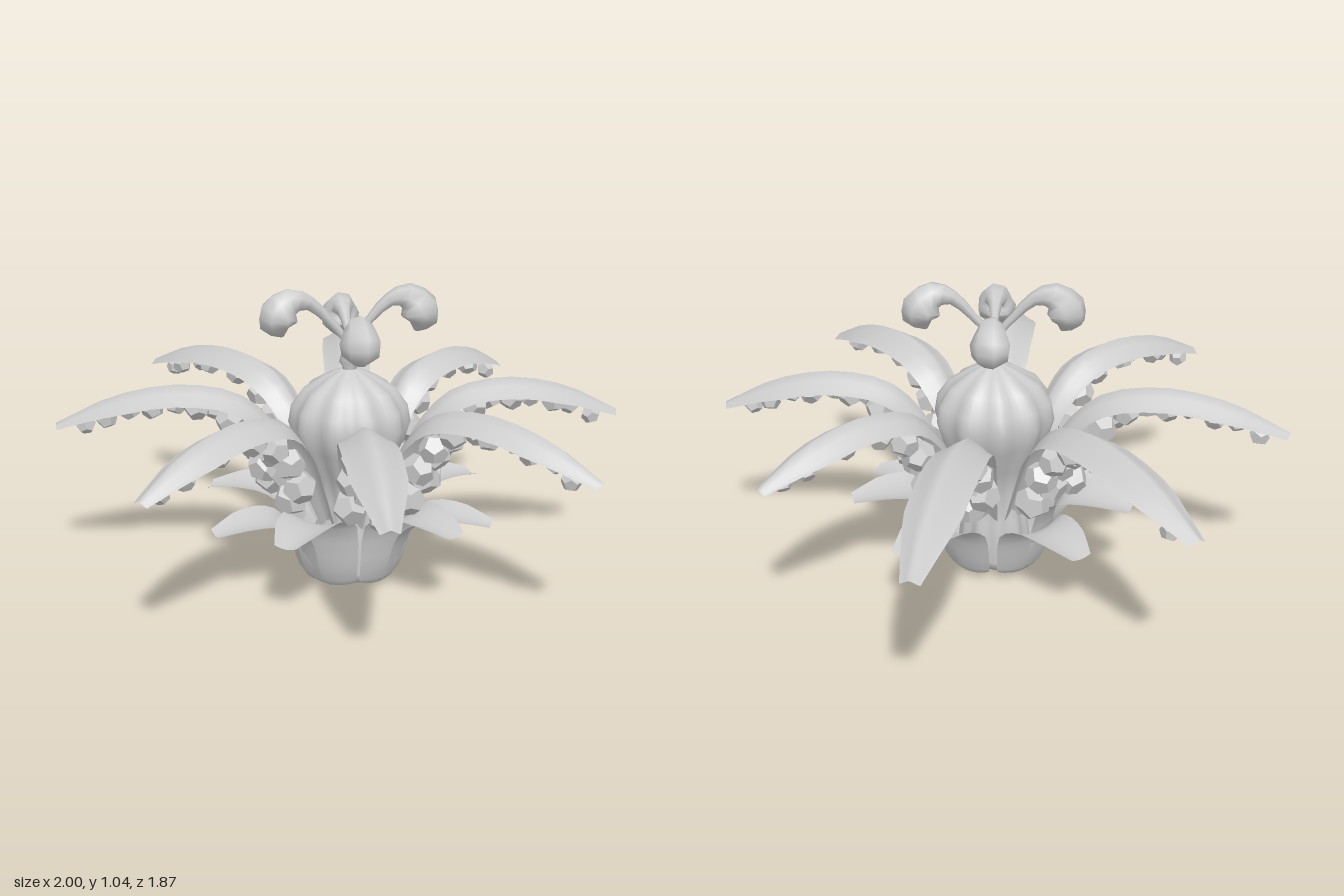
import * as THREE from 'three';
import { mergeVertices } from 'three/addons/utils/BufferGeometryUtils.js';

const smooth = new THREE.MeshStandardMaterial({ color: 0xcccccc, side: THREE.DoubleSide });
const faceted = new THREE.MeshStandardMaterial({ color: 0xcccccc, flatShading: true });

// Small seeded generator for natural variation
let seed = 7;
const rand = () => (seed = (seed * 16807) % 2147483647) / 2147483647;

// Skin a list of equally long rows of points
function skin(rows) {
  const n = rows[0].length, index = [];
  for (let i = 0; i < rows.length - 1; i++)
    for (let j = 0; j < n - 1; j++) {
      const a = i * n + j, b = a + n;
      index.push(a, a + 1, b, a + 1, b + 1, b);
    }
  let g = new THREE.BufferGeometry().setFromPoints(rows.flat());
  g.setIndex(index);
  g = mergeVertices(g, 1e-5);
  g.computeVertexNormals();
  return g;
}

// Stations along a path in the x-y plane: position, upper normal and interpolated size
function stations(points, sizes, count) {
  const curve = new THREE.CatmullRomCurve3(points.map(([x, y]) => new THREE.Vector3(x, y, 0)));
  return Array.from({ length: count + 1 }, (_, i) => {
    const t = i / count, k = t * (sizes.length - 1);
    const lo = Math.min(Math.floor(k), sizes.length - 2);
    const tan = curve.getTangent(t);
    return {
      p: curve.getPoint(t),
      n: new THREE.Vector3(-tan.y, tan.x, 0),
      size: THREE.MathUtils.lerp(sizes[lo], sizes[lo + 1], k - lo),
    };
  });
}

// Thin blade whose cross-section is given by fold(s), s from -1 to 1
function blade(st, fold) {
  return skin(st.map(({ p, n, size }) =>
    [-1, -0.75, -0.4, 0, 0.4, 0.75, 1].map((s) => {
      const v = p.clone().addScaledVector(n, fold(s) * size);
      v.z += s * size;
      return v;
    })));
}

// Round stem of changing thickness
function stem(st, sides) {
  return skin(st.map(({ p, n, size }) =>
    Array.from({ length: sides + 1 }, (_, j) => {
      const a = ((j % sides) / sides) * Math.PI * 2;
      const v = p.clone().addScaledVector(n, -Math.sin(a) * size);
      v.z += Math.cos(a) * size;
      return v;
    })));
}

function add(parent, name, geometry, material = smooth) {
  const mesh = new THREE.Mesh(geometry, material);
  mesh.name = name;
  parent.add(mesh);
  return mesh;
}

export function createModel() {
  const model = new THREE.Group();
  model.name = 'plant';
  const plant = new THREE.Group();
  plant.name = 'flowerBody';
  plant.position.set(0.04, 0, -0.03);
  model.add(plant);

  // Ribbed bulb with its stalk and the knob on top
  const profile = [[0, 0.002], [0.1, 0.005], [0.13, 0.05], [0.11, 0.2], [0.1, 0.3], [0.13, 0.4],
    [0.18, 0.5], [0.2, 0.57], [0.19, 0.63], [0.15, 0.69], [0.08, 0.735], [0.025, 0.76]];
  const bulb = new THREE.LatheGeometry(profile.map((p) => new THREE.Vector2(...p)), 60);
  bulb.deleteAttribute('uv');
  bulb.deleteAttribute('normal');
  const pos = bulb.attributes.position;
  for (let i = 0; i < pos.count; i++) {
    const x = pos.getX(i), z = pos.getZ(i);
    const k = 1 + 0.05 * Math.cos(10 * Math.atan2(z, x));
    pos.setX(i, x * k);
    pos.setZ(i, z * k);
  }
  const bulbGeo = mergeVertices(bulb, 1e-5);
  bulbGeo.computeVertexNormals();
  add(plant, 'bulb', bulbGeo);
  const knob = [[0.03, 0.74], [0.02, 0.76], [0.036, 0.785], [0.03, 0.81], [0.018, 0.83], [0.022, 0.87], [0, 0.88]];
  add(plant, 'knob', new THREE.LatheGeometry(knob.map((p) => new THREE.Vector2(...p)), 8));

  // Four drooping buds on thin arms, two of them lower and closer in
  for (let i = 0; i < 4; i++) {
    const drop = i % 2 ? 0.06 : 0, k = i % 2 ? 0.83 : 1.03;
    const path = [[0, 0.82], [0.02, 0.87], [0.07, 0.93 - drop / 2], [0.13, 0.99 - drop], [0.19, 1.0 - drop],
      [0.23, 0.96 - drop], [0.235, 0.92 - drop], [0.22, 0.88 - drop]].map(([r, y]) => [r * k, y]);
    const st = stations(path, [0.012, 0.013, 0.015, 0.024, 0.046, 0.068, 0.062, 0.006], 14);
    add(plant, 'bud', stem(st, 7)).rotation.y = Math.PI / 4 + i * Math.PI / 2;
  }

  // Long arching leaves, aimed at their tips, with a row of pods under each
  const tips = [[0.96, 0.05], [0.63, 0.71], [-0.08, 0.96], [-0.79, 0.61],
    [-1.04, -0.16], [-0.65, -0.9], [0.07, -0.91], [0.7, -0.63]];
  for (const [tx, tz] of tips) {
    const arm = new THREE.Group();
    arm.name = 'podLeaf';
    arm.rotation.y = -Math.atan2(tz, tx);
    plant.add(arm);
    const k = (Math.hypot(tx, tz) - 0.1) / 0.87;
    const path = [[0.1, 0.22], [0.165, 0.38], [0.24, 0.54], [0.36, 0.66], [0.55, 0.7], [0.77, 0.665], [0.97, 0.575]]
      .map(([r, y]) => [0.1 + (r - 0.1) * k, y]);
    const st = stations(path, [0.035, 0.05, 0.068, 0.085, 0.092, 0.086, 0.03], 16);
    add(arm, 'longLeaf', blade(st, (s) => 0.1 * Math.cos(s * 5) - 0.5 * s * s));
    for (let i = 3; i < 16; i++) {
      const r = 0.062 - 0.0023 * (i - 3);
      const pod = add(arm, 'pod', new THREE.DodecahedronGeometry(r), faceted);
      pod.position.copy(st[i].p).addScaledVector(st[i].n, -(i < 9 ? 1.5 : 1.15) * r - 0.01);
      pod.position.z = (i % 2 ? 0.45 : -0.45) * r;
      pod.rotation.set(rand() * 6, rand() * 6, rand() * 6);
    }
  }

  // Rosette of short base leaves, upright below and bent outwards on top
  [-20, 12, 119, 79, -100, -61, 188, 155].forEach((angle, i) => {
    const up = i % 2 ? 0.06 : 0;
    const path = [[0.13, 0.01], [0.165, 0.025], [0.2, 0.12], [0.23, 0.2 + up], [0.29, 0.24 + up],
      [0.39, 0.25 + up], [0.5, 0.235 + up]];
    const st = stations(path, [0.06, 0.09, 0.11, 0.12, 0.11, 0.09, 0.04], 14);
    add(plant, 'baseLeaf', blade(st, (s) => 0.25 * s * s)).rotation.y = -THREE.MathUtils.degToRad(angle);
  });
  return model;
}
